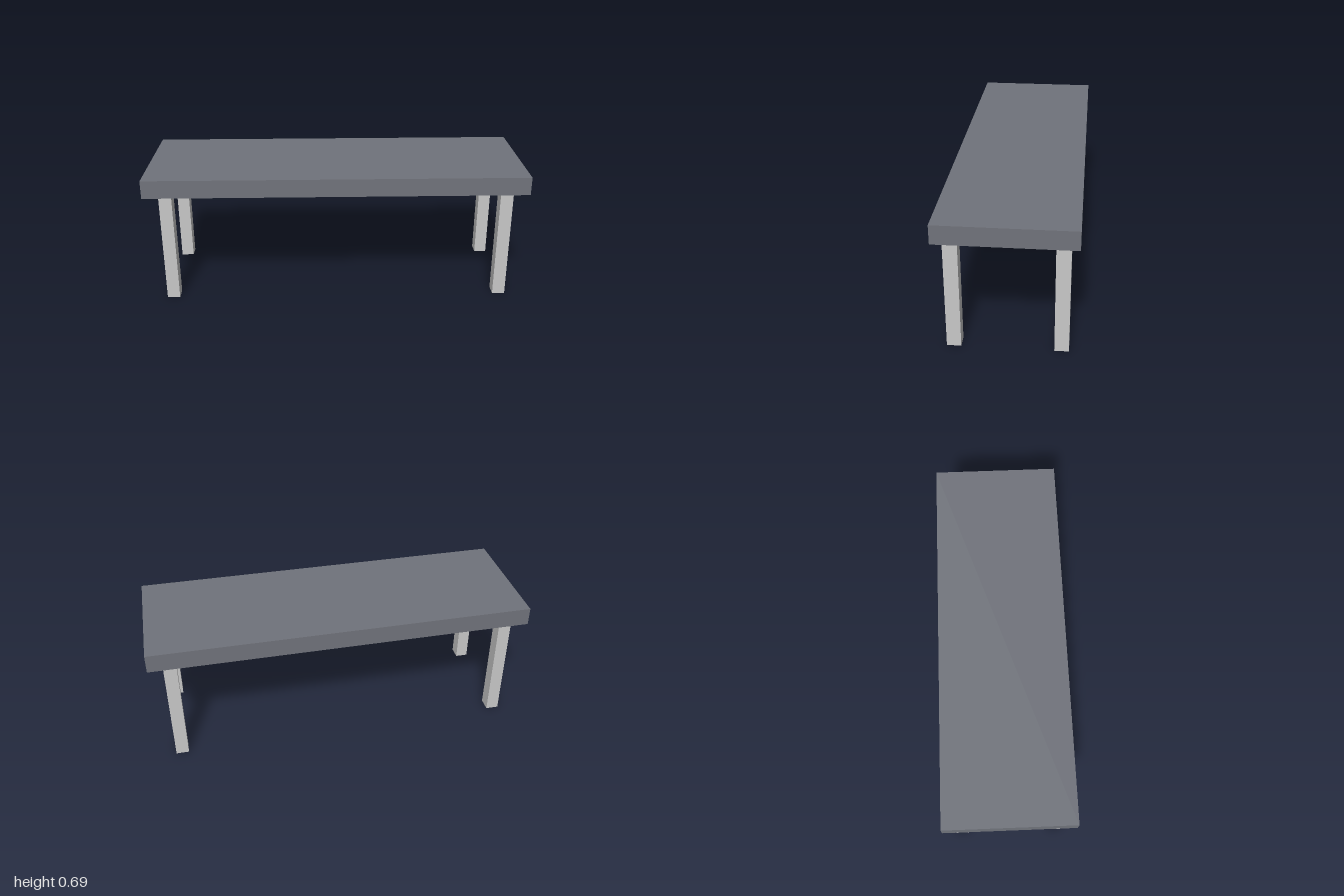
import * as THREE from 'three';

const darkGrey = new THREE.MeshStandardMaterial({ name: 'dark grey top', color: 0x70737b });
const lightGrey = new THREE.MeshStandardMaterial({ name: 'light grey legs', color: 0xc8c8c8 });

function box(name, material, size, position) {
  const mesh = new THREE.Mesh(new THREE.BoxGeometry(...size), material);
  mesh.name = name;
  mesh.position.set(...position);
  return mesh;
}

export function createModel() {
  const table = new THREE.Group();
  table.name = 'table';

  // Thick slab top
  const legHeight = 0.599;
  const topThickness = 0.096;
  table.add(box('tableTop', darkGrey, [2, topThickness, 0.668], [0, legHeight + topThickness / 2, 0]));

  // Four square legs, set in from the corners
  for (const [side, sx] of [['Left', 1], ['Right', -1]]) {
    for (const [end, sz] of [['front', 1], ['back', -1]]) {
      table.add(box(`${end}${side}Leg`, lightGrey, [0.067, legHeight, 0.07],
        [sx * 0.89, legHeight / 2, sz * 0.259]));
    }
  }
  return table;
}
